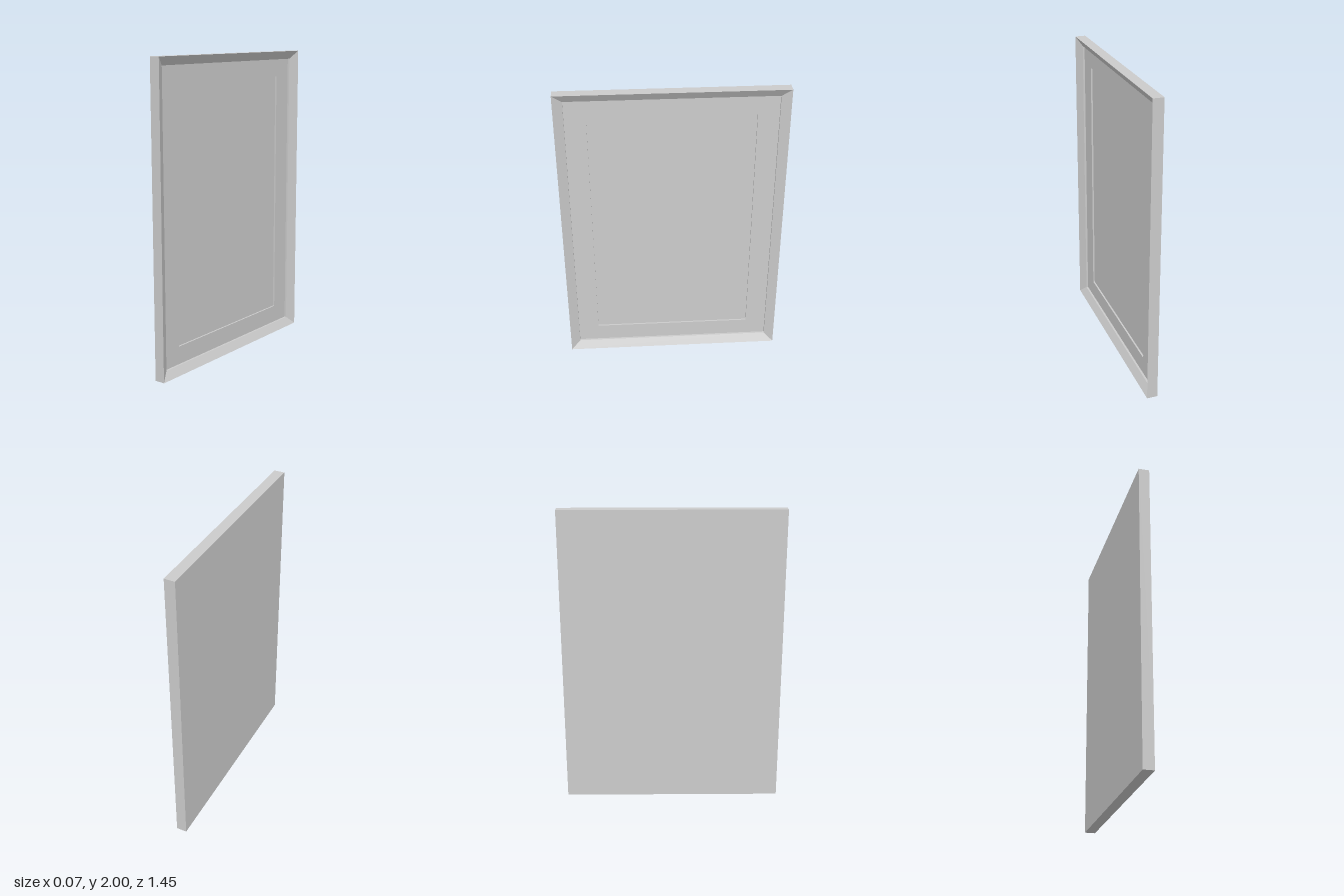
import * as THREE from 'three';

const material = new THREE.MeshStandardMaterial({ color: 0xcccccc, flatShading: true });

// Outer size and the depths of each layer along x
const HALF_WIDTH = 0.725, HALF_HEIGHT = 1;
const BACK = -0.035, FRONT = 0.035, LIP = 0.002, MAT = -0.011, PICTURE = -0.022;

// Rectangular ring of corners, anticlockwise as seen from +x
function ring(x, insetZ = 0, insetY = 0) {
  const z = HALF_WIDTH - insetZ, y = HALF_HEIGHT - insetY;
  return [[z, -y], [-z, -y], [-z, y], [z, y]].map(([cz, cy]) => [x, cy + HALF_HEIGHT, cz]);
}

// Mitred band of flat quads through successive rings
function band(name, rings) {
  const points = [];
  for (let i = 0; i < rings.length - 1; i++) {
    for (let k = 0; k < 4; k++) {
      const n = (k + 1) % 4;
      const a = rings[i][k], b = rings[i][n], c = rings[i + 1][n], d = rings[i + 1][k];
      points.push(...a, ...b, ...c, ...a, ...c, ...d);
    }
  }
  const geometry = new THREE.BufferGeometry();
  geometry.setAttribute('position', new THREE.Float32BufferAttribute(points, 3));
  geometry.computeVertexNormals();
  const mesh = new THREE.Mesh(geometry, material);
  mesh.name = name;
  return mesh;
}

// Flat panel facing along +x or -x
function panel(name, x, insetZ, insetY, facing) {
  const geometry = new THREE.PlaneGeometry(2 * (HALF_WIDTH - insetZ), 2 * (HALF_HEIGHT - insetY));
  geometry.rotateY(facing * Math.PI / 2);
  const mesh = new THREE.Mesh(geometry, material);
  mesh.position.set(x, HALF_HEIGHT, 0);
  mesh.name = name;
  return mesh;
}

export function createModel() {
  const model = new THREE.Group();
  model.name = 'pictureFrame';

  const lip = [0.061, 0.054];      // inset of the bevel's inner edge
  const opening = [0.197, 0.172];  // inset of the mat opening

  // Outer sides, inward-sloping bevel and the small step down to the mat
  model.add(band('frame', [ring(BACK), ring(FRONT), ring(LIP, ...lip), ring(MAT, ...lip)]));

  // Mat border and the step down to the picture
  model.add(band('mat', [ring(MAT, ...lip), ring(MAT, ...opening), ring(PICTURE, ...opening)]));

  model.add(panel('picture', PICTURE, ...opening, 1));
  model.add(panel('backPanel', BACK, 0, 0, -1));
  return model;
}
